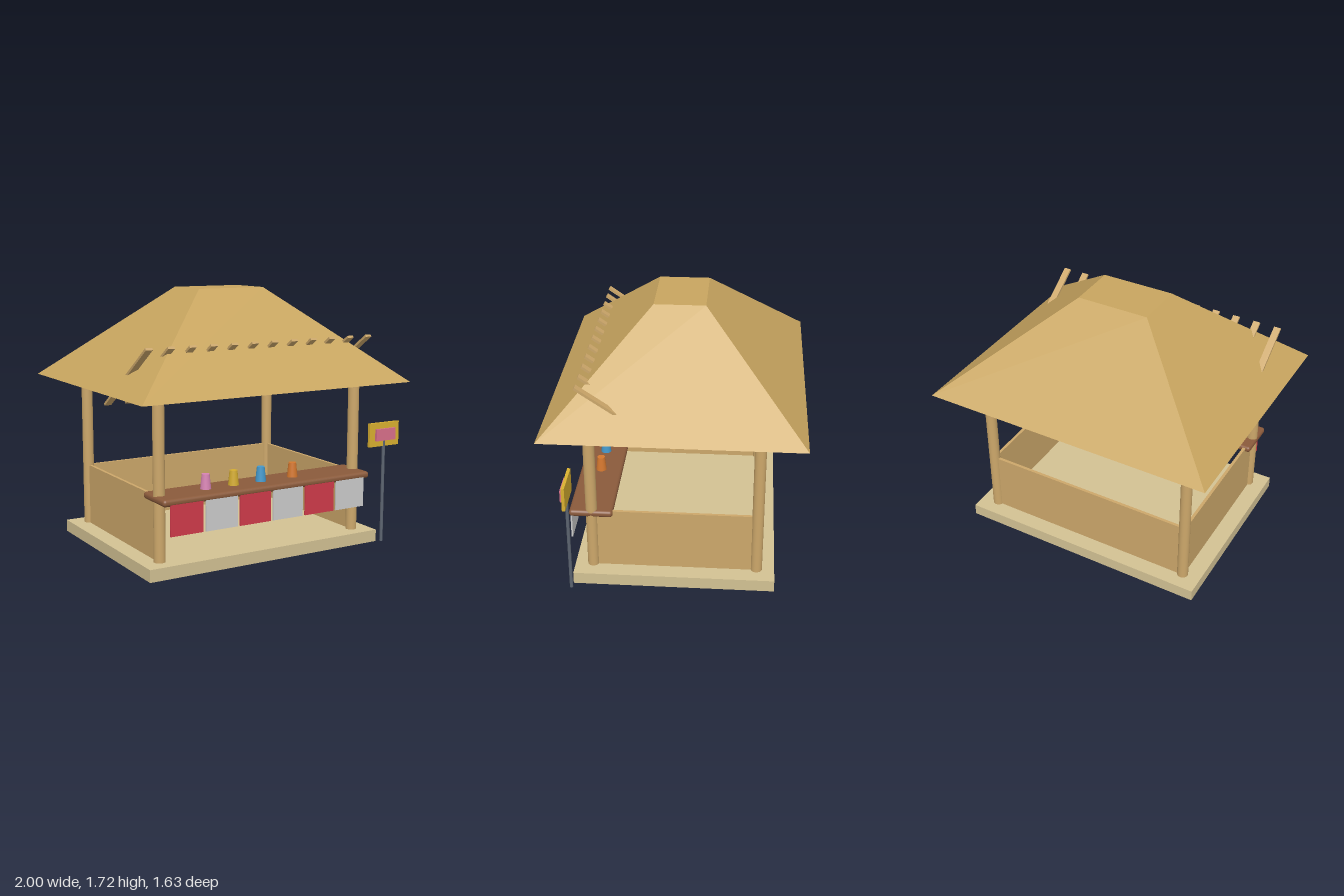
import * as THREE from 'three';
import { RoundedBoxGeometry } from 'three/addons/geometries/RoundedBoxGeometry.js';

const CX = -0.022; // centre line of the hut; the sign stands beside it

const mat = (color, flatShading = false) => {
  const m = new THREE.MeshStandardMaterial({ color });
  m.flatShading = flatShading;
  return m;
};
const THATCH = mat(0xc8a55f, true), WOOD = mat(0xcca76a), STONE = mat(0xd2c193);
const COUNTER = mat(0x8a5a3b), RED = mat(0xcf3a4a), GREY = mat(0xbdbdbd);
const METAL = mat(0x5c6470), GOLD = mat(0xd9b030), PINK = mat(0xd9708a);

export function createModel() {
  const root = new THREE.Group();

  const add = (name, geometry, material, x, y, z, parent = root) => {
    const mesh = new THREE.Mesh(geometry, material);
    mesh.name = name;
    mesh.position.set(x, y, z);
    parent.add(mesh);
    return mesh;
  };
  const box = (name, w, h, d, material, x, y, z, parent) =>
    add(name, new THREE.BoxGeometry(w, h, d), material, x, y, z, parent);
  const group = (name) => {
    const g = new THREE.Group();
    g.name = name;
    root.add(g);
    return g;
  };

  // Floor slab
  box('floor', 1.715, 0.08, 1.3, STONE, CX, 0.04, 0);

  // Corner posts
  const posts = group('posts');
  for (const sx of [-1, 1]) for (const sz of [-1, 1])
    add('post', new THREE.CylinderGeometry(0.037, 0.037, 1.03, 24), WOOD,
      CX + sx * 0.733, 0.595, sz * 0.533, posts);

  // Half-height walls on the back and sides; the front stays open
  const walls = group('walls');
  box('backWall', 1.466, 0.41, 0.02, WOOD, CX, 0.285, -0.533, walls);
  for (const sx of [-1, 1])
    box('sideWall', 0.02, 0.41, 1.066, WOOD, CX + sx * 0.733, 0.285, 0, walls);

  // Hipped roof: a four-sided frustum with a flat top
  const roofGeo = new THREE.CylinderGeometry(1, 1, 0.61, 4, 1).toNonIndexed();
  roofGeo.rotateY(Math.PI / 4);
  const p = roofGeo.attributes.position;
  for (let i = 0; i < p.count; i++) {
    const top = p.getY(i) > 0;
    const hw = top ? 0.243 : 0.978, hd = top ? 0.165 : 0.815;
    const k = Math.SQRT2;
    p.setX(i, p.getX(i) * k * hw);
    p.setZ(i, p.getZ(i) * k * hd);
  }
  roofGeo.computeVertexNormals();
  add('roof', roofGeo, THATCH, CX, 1.41, 0);

  // Row of sloping slats piercing the front of the roof
  const slats = group('roofSlats');
  for (let i = 0; i < 12; i++) {
    const slat = box('slat', 0.046, 0.016, 0.725, WOOD, -0.84 + i * 0.147, 1.195, 0.292, slats);
    slat.rotation.x = -0.6;
  }

  // Rounded serving counter
  add('counter', new RoundedBoxGeometry(1.545, 0.045, 0.28, 4, 0.02), COUNTER, -0.024, 0.478, 0.535);

  // Alternating cloth panels hung from the counter
  const cloths = group('clothPanels');
  for (let i = 0; i < 6; i++)
    box('clothPanel', 0.226, 0.2, 0.01, i % 2 ? GREY : RED, -0.637 + i * 0.245, 0.37, 0.668, cloths);

  // Cups on the counter
  const cups = group('cups');
  [[-0.43, 0xd884b4], [-0.228, 0xd4ac30], [-0.024, 0x4499cc], [0.22, 0xd4772e]].forEach(([x, c]) =>
    add('cup', new THREE.CylinderGeometry(0.025, 0.035, 0.096, 20), mat(c), x, 0.548, 0.535, cups));

  // Sign on a pole
  const sign = group('sign');
  add('signPole', new THREE.CylinderGeometry(0.011, 0.011, 0.74, 12), METAL, 0.875, 0.37, 0.658, sign);
  box('signBoard', 0.245, 0.16, 0.02, GOLD, 0.874, 0.74, 0.655, sign);
  box('signPanel', 0.16, 0.08, 0.018, PINK, 0.877, 0.74, 0.673, sign);

  return root;
}
